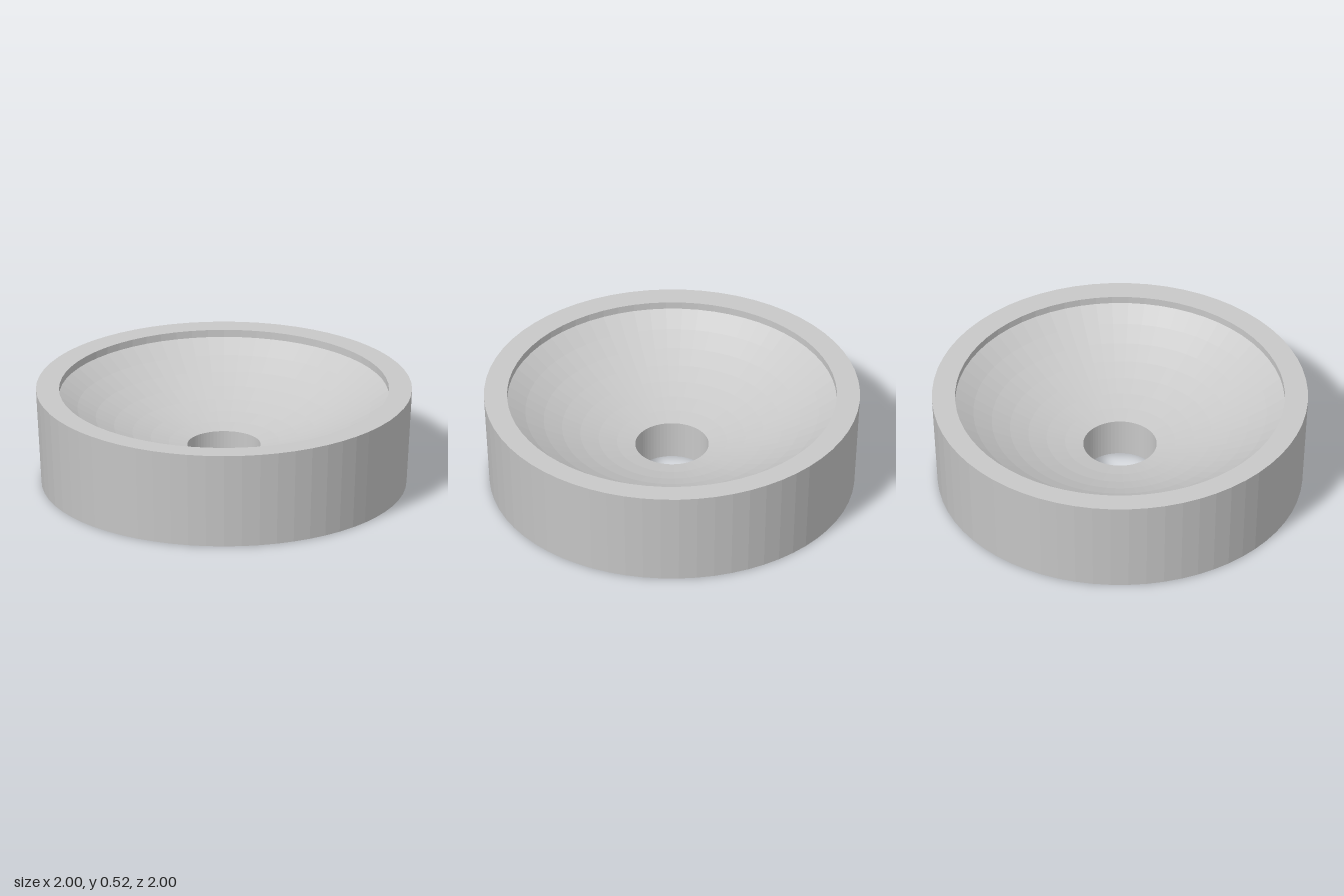
import * as THREE from 'three';

export function createModel() {
  const model = new THREE.Group();
  model.name = 'dish';
  const grey = new THREE.MeshStandardMaterial({ color: 0xc8c8c8 });
  grey.name = 'grey';

  const HEIGHT = 0.525, HOLE = 0.195, HOLE_TOP = 0.21, LIP = 0.877, BOWL_TOP = 0.485;

  // Revolves a profile into faceted surfaces; outward when the profile runs upwards
  function revolve(name, profile) {
    const points = profile.map(([r, y]) => new THREE.Vector2(r, y));
    const geometry = new THREE.LatheGeometry(points, 64).toNonIndexed();
    geometry.computeVertexNormals();
    const mesh = new THREE.Mesh(geometry, grey);
    mesh.name = name;
    model.add(mesh);
  }

  // Spherical bowl from the lip down to the hole
  const centreY = (LIP ** 2 + BOWL_TOP ** 2 - HOLE ** 2 - HOLE_TOP ** 2) / (2 * (BOWL_TOP - HOLE_TOP));
  const radius = Math.hypot(LIP, centreY - BOWL_TOP);
  const bowl = [];
  const steps = 7;
  for (let i = 0; i <= steps; i++) {
    const r = THREE.MathUtils.lerp(LIP, HOLE, i / steps);
    bowl.push([r, centreY - Math.sqrt(radius ** 2 - r ** 2)]);
  }

  revolve('base', [[HOLE, 0], [0.97, 0]]);
  revolve('outerWall', [[0.97, 0], [1, HEIGHT]]);
  revolve('rim', [[1, HEIGHT], [LIP, HEIGHT]]);
  revolve('lip', [[LIP, HEIGHT], [LIP, BOWL_TOP]]);
  revolve('bowl', bowl);
  revolve('centreHole', [[HOLE, HOLE_TOP], [HOLE, 0]]);

  return model;
}
